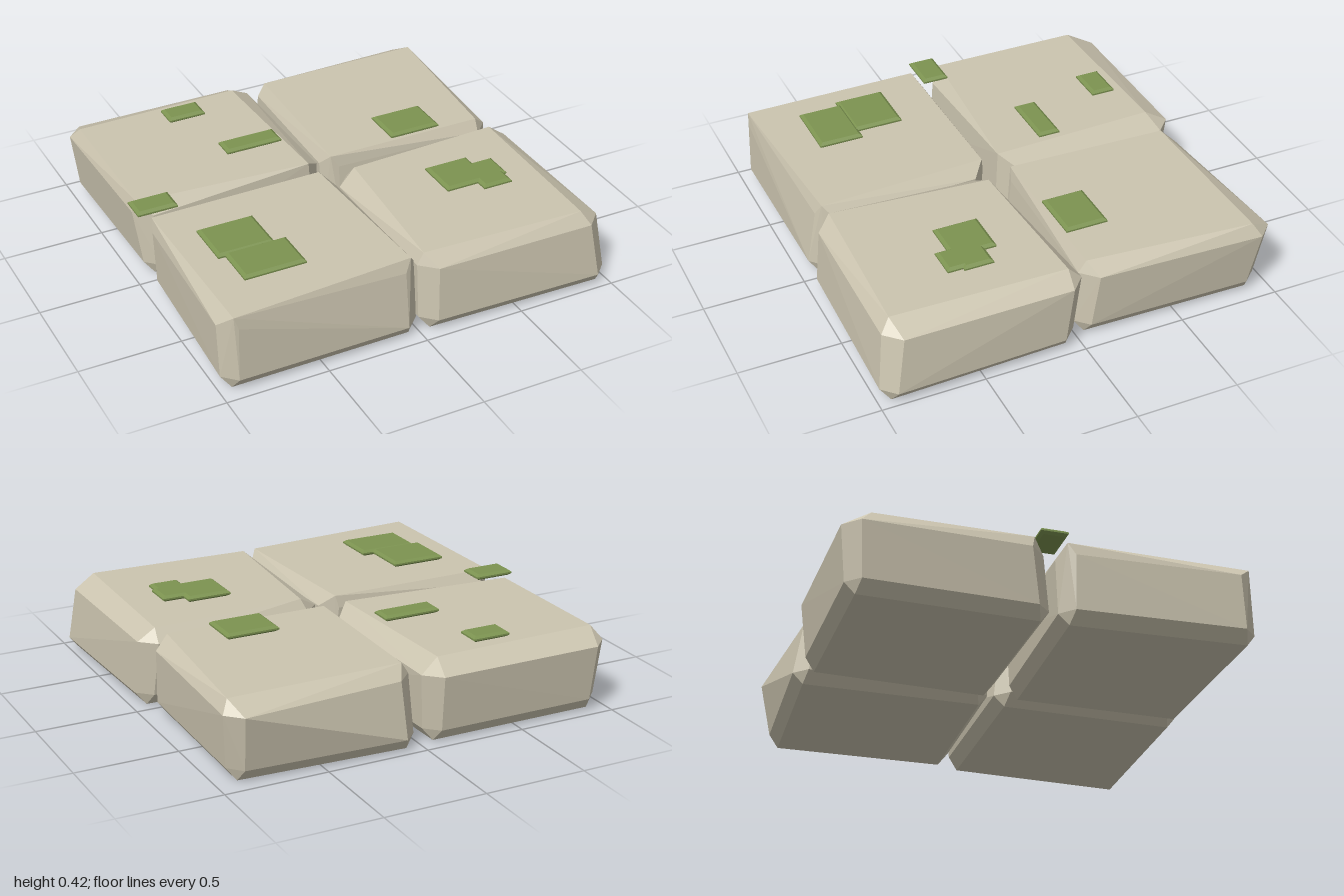
import * as THREE from 'three';
import { ConvexGeometry } from 'three/addons/geometries/ConvexGeometry.js';

const stone = new THREE.MeshStandardMaterial({ color: 0xcbc4af, flatShading: true });
const moss = new THREE.MeshStandardMaterial({ color: 0x7c9350, flatShading: true });

const lerp = (a, b, t) => [a[0] + (b[0] - a[0]) * t, a[1] + (b[1] - a[1]) * t];

// Cut each corner of a four-sided outline into two points
function cutCorners(quad, t) {
  return quad.flatMap((p, i) => [lerp(p, quad[(i + 3) % 4], t), lerp(p, quad[(i + 1) % 4], t)]);
}

// Chamfered stone slab from three outlines of [x, z] corners
function slab(top, rim, foot) {
  const mid = lerp(lerp(foot[0], foot[2], 0.5), lerp(foot[1], foot[3], 0.5), 0.5);
  const base = foot.map((p) => lerp(p, mid, 0.1));
  const at = (y) => ([x, z]) => new THREE.Vector3(x, y, z);
  return new ConvexGeometry([
    ...top.map(at(0.39)),
    ...cutCorners(rim, 0.08).map(at(0.33)),
    ...cutCorners(foot, 0.07).map(at(0.06)),
    ...base.map(at(0)),
  ]);
}

// Thin bevelled moss patch from an [x, z] outline
function patch(points) {
  const bevel = 0.015;
  const shape = new THREE.Shape(points.map(([x, z]) => new THREE.Vector2(x, z)));
  const geo = new THREE.ExtrudeGeometry(shape, {
    depth: 0.008, bevelEnabled: true, bevelSegments: 1,
    bevelSize: bevel, bevelOffset: -bevel, bevelThickness: 0.011,
  });
  return geo.rotateX(Math.PI / 2).translate(0, 0.409, 0);
}

const rect = (x0, x1, z0, z1) => [[x0, z0], [x1, z0], [x1, z1], [x0, z1]];

export function createModel() {
  const group = new THREE.Group();
  const add = (name, geometry, material) => {
    const mesh = new THREE.Mesh(geometry, material);
    mesh.name = name;
    group.add(mesh);
  };

  // Four uneven paving stones; corners run back-right, back-left, front-left, front-right
  add('backRightStone', slab(
    [[-0.95, -0.86], [-0.11, -0.88], [-0.08, -0.05], [-0.95, -0.11]],
    [[-0.99, -0.985], [-0.01, -0.99], [0, -0.05], [-0.97, -0.05]],
    [[-0.96, -0.96], [-0.03, -0.96], [0, -0.03], [-0.94, -0.02]]), stone);
  add('backLeftStone', slab(
    [[0.07, -0.87], [0.93, -0.885], [0.86, -0.06], [0.045, -0.06]],
    [[0.03, -0.93], [0.97, -1], [0.93, -0.02], [0.01, -0.05]],
    [[0.03, -0.985], [0.94, -0.94], [0.92, 0], [0.02, -0.02]]), stone);
  add('frontLeftStone', slab(
    [[0.1, 0.08], [0.88, 0.04], [0.86, 0.9], [0.04, 0.87]],
    [[0, 0.05], [0.965, -0.03], [0.97, 0.95], [0.01, 0.94]],
    [[0, 0.01], [0.97, 0.02], [1, 0.985], [0.01, 0.96]]), stone);
  add('frontRightStone', slab(
    [[-0.94, 0.05], [-0.07, 0.04], [-0.03, 0.88], [-0.93, 0.94]],
    [[-0.95, 0.01], [-0.01, 0.03], [0.015, 0.9], [-0.99, 0.95]],
    [[-0.94, 0.02], [0, 0.05], [0, 0.95], [-0.985, 0.955]]), stone);

  // Moss patches on top of the stones
  [
    rect(-0.53, -0.34, -0.82, -0.7),
    rect(-0.4, -0.11, -0.4, -0.29),
    rect(-1, -0.8, -0.095, 0.035),
    rect(-0.81, -0.53, 0.27, 0.515),
    rect(-0.775, -0.47, 0.5, 0.72),
    rect(0.385, 0.65, -0.275, -0.065),
    [[0.385, 0.27], [0.61, 0.27], [0.61, 0.33], [0.715, 0.33], [0.715, 0.475], [0.7, 0.475],
      [0.7, 0.55], [0.55, 0.55], [0.55, 0.49], [0.385, 0.49]],
  ].forEach((outline, i) => add(`mossPatch${i + 1}`, patch(outline), moss));

  return group;
}
